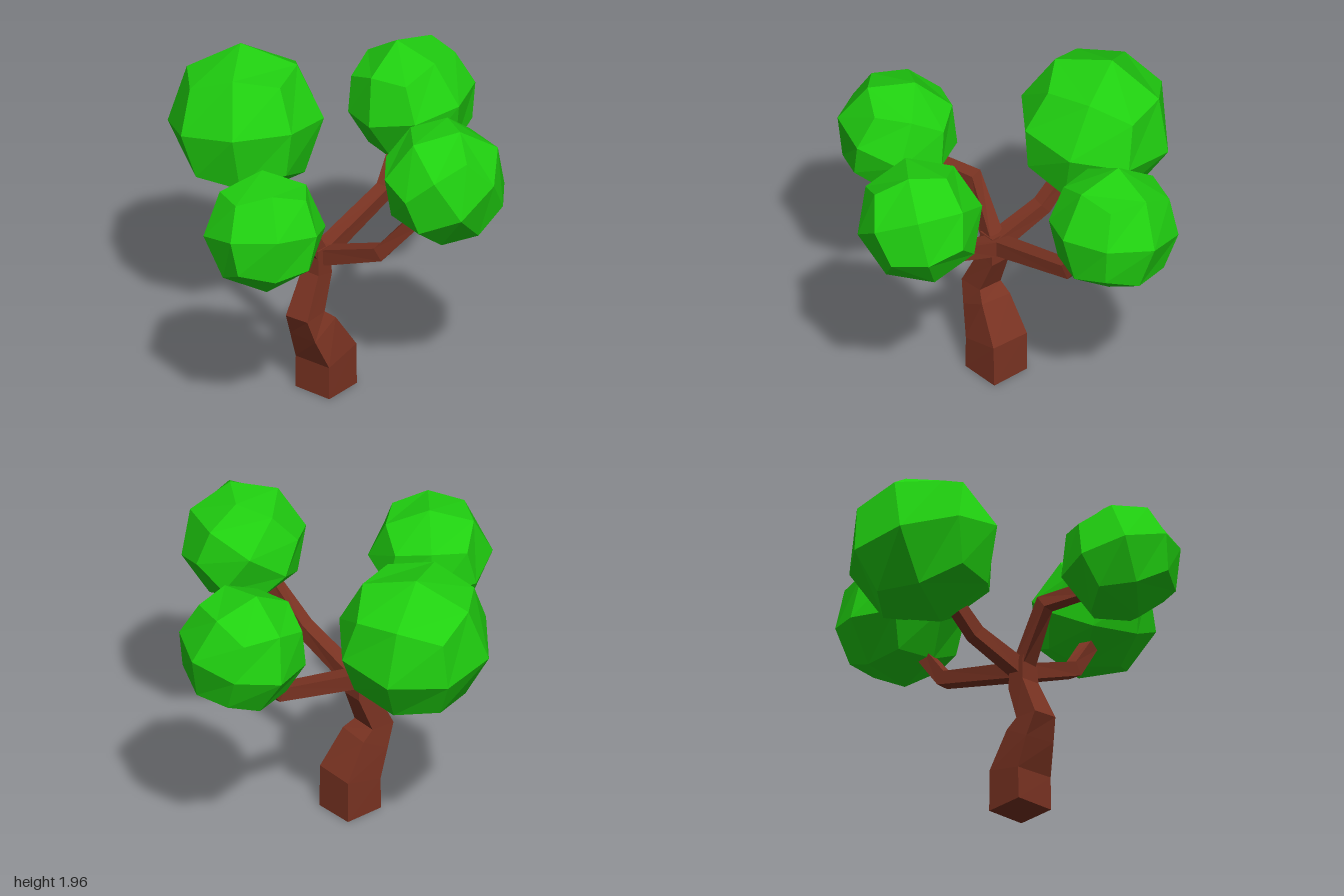
import * as THREE from 'three';

const bark = new THREE.MeshStandardMaterial({ color: 0x7a3322, flatShading: true });
const leaf = new THREE.MeshStandardMaterial({ color: 0x20d010, flatShading: true });
const V = (a) => new THREE.Vector3(a[0], a[1], a[2]);

// Four-sided limb swept through [x, y, z, radius] rings, with mitred bends and capped ends
function limb(name, rings, ref, startAngle, firstTangent) {
  const sides = 4, pos = [], index = [];
  const pts = rings.map(V), last = rings.length - 1;
  rings.forEach((ring, i) => {
    const t = new THREE.Vector3();
    if (i > 0) t.add(pts[i].clone().sub(pts[i - 1]).normalize());
    if (i < last) t.add(pts[i + 1].clone().sub(pts[i]).normalize());
    if (i === 0 && firstTangent) t.copy(V(firstTangent));
    t.normalize();
    const u = V(ref).addScaledVector(t, -V(ref).dot(t)).normalize();
    const v = u.clone().cross(t);
    for (let j = 0; j < sides; j++) {
      const a = startAngle + (j / sides) * Math.PI * 2;
      const p = pts[i].clone()
        .addScaledVector(u, Math.cos(a) * ring[3])
        .addScaledVector(v, Math.sin(a) * ring[3]);
      pos.push(p.x, p.y, p.z);
      if (i < last) {
        const k = (j + 1) % sides, o = i * sides;
        index.push(o + j, o + sides + j, o + k, o + k, o + sides + j, o + sides + k);
      }
    }
  });
  const e = last * sides;
  index.push(0, 1, 2, 0, 2, 3, e, e + 2, e + 1, e, e + 3, e + 2);
  const geo = new THREE.BufferGeometry();
  geo.setAttribute('position', new THREE.Float32BufferAttribute(pos, 3));
  geo.setIndex(index);
  const flat = geo.toNonIndexed();
  flat.computeVertexNormals();
  const mesh = new THREE.Mesh(flat, bark);
  mesh.name = name;
  return mesh;
}

// Leaf ball: a cube split 2 x 2 per face and rounded to a sphere, turned by its up and front axes
function leafBall(name, center, radius, up, front) {
  const geo = new THREE.BoxGeometry(2, 2, 2, 2, 2, 2).toNonIndexed();
  const p = geo.attributes.position, v = new THREE.Vector3();
  for (let i = 0; i < p.count; i++) {
    v.fromBufferAttribute(p, i).setLength(radius);
    p.setXYZ(i, v.x, v.y, v.z);
  }
  geo.computeVertexNormals();
  const y = V(up).normalize();
  const z = V(front).addScaledVector(y, -V(front).dot(y)).normalize();
  const mesh = new THREE.Mesh(geo, leaf);
  mesh.quaternion.setFromRotationMatrix(new THREE.Matrix4().makeBasis(y.clone().cross(z), y, z));
  mesh.position.set(...center);
  mesh.name = name;
  return mesh;
}

export function createModel() {
  const tree = new THREE.Group();
  tree.name = 'tree';

  // Crooked trunk
  tree.add(limb('trunk', [
    [-0.10, 0, 0.09, 0.182],
    [-0.10, 0.235, 0.09, 0.182],
    [-0.195, 0.44, 0.135, 0.145],
    [-0.25, 0.54, 0.16, 0.115],
    [-0.16, 0.78, 0.10, 0.09],
    [-0.16, 0.95, 0.10, 0.078],
  ], [0.98, 0, 0.2], 0, [0, 1, 0]));

  // Bent branches
  const branches = {
    frontLeftBranch: [[-0.12, 0.88, 0.1, 0.07], [0.13, 1.04, 0.44, 0.062], [0.31, 1.3, 0.57, 0.056]],
    backLeftBranch: [[-0.14, 0.88, 0.09, 0.07], [0.38, 1.04, -0.28, 0.062], [0.5, 1.26, -0.4, 0.056]],
    frontRightBranch: [[-0.16, 0.9, 0.1, 0.07], [-0.33, 1.24, 0.2, 0.062], [-0.47, 1.28, 0.42, 0.056]],
    backRightBranch: [[-0.15, 0.88, 0.09, 0.07], [-0.24, 1.06, -0.2, 0.062], [-0.33, 1.27, -0.38, 0.056]],
  };
  for (const [name, rings] of Object.entries(branches)) {
    tree.add(limb(name, rings, [0, 1, 0], Math.PI / 4));
  }

  // Leaf balls
  tree.add(
    leafBall('frontLeftLeaves', [0.465, 1.555, 0.62], 0.377, [-0.55, 0.8, 0.15], [-0.02, -0.22, 0.97]),
    leafBall('backLeftLeaves', [0.615, 1.5, -0.51], 0.385, [-0.2, 0.95, -0.1], [0.5, 0.15, 0.85]),
    leafBall('frontRightLeaves', [-0.64, 1.395, 0.605], 0.368, [0.05, 0.96, -0.28], [-0.08, 0.28, 0.96]),
    leafBall('backRightLeaves', [-0.4, 1.505, -0.535], 0.468, [0, 0.97, -0.22], [-0.45, 0.2, 0.87]),
  );
  return tree;
}
